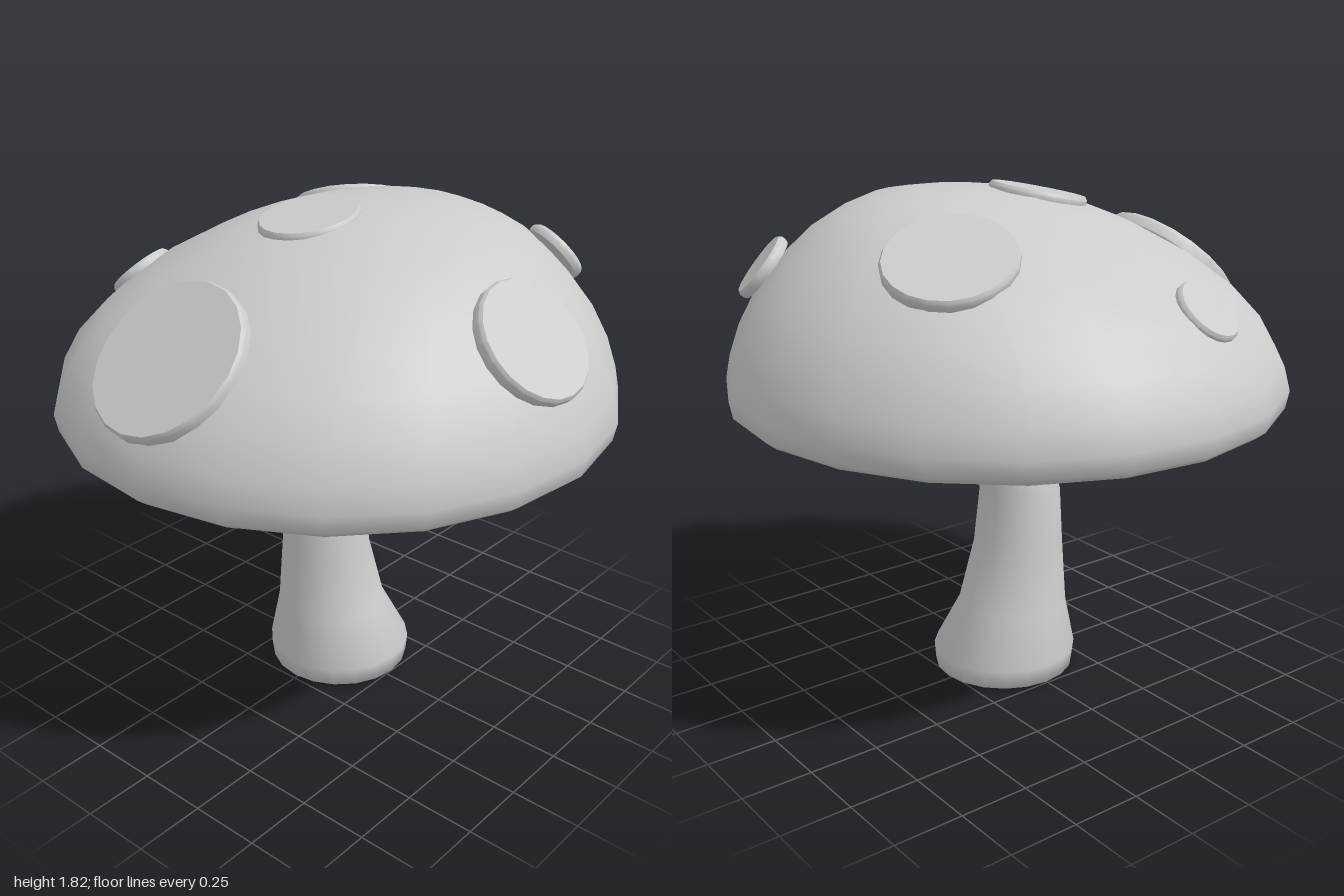
import * as THREE from 'three';
import { mergeVertices, toCreasedNormals } from 'three/addons/utils/BufferGeometryUtils.js';

const material = new THREE.MeshStandardMaterial({ color: 0xcccccc });

// Lathe a profile of [radius, y], turn it, then shift each ring sideways by offset(y, ring)
function leaningLathe(profile, sides, turn, offset, crease) {
  let geo = new THREE.LatheGeometry(profile.map(([r, y]) => new THREE.Vector2(r, y)), sides);
  geo.rotateY(turn);
  const pos = geo.attributes.position;
  for (let i = 0; i < pos.count; i++) {
    const [dx, dz] = offset(pos.getY(i), i % profile.length);
    pos.setX(i, pos.getX(i) + dx);
    pos.setZ(i, pos.getZ(i) + dz);
  }
  geo.deleteAttribute('uv');
  geo.deleteAttribute('normal');
  geo = mergeVertices(geo, 1e-4);
  geo.computeVertexNormals();
  return crease ? toCreasedNormals(geo, crease) : geo;
}

function addMesh(group, name, geo) {
  const mesh = new THREE.Mesh(geo, material);
  mesh.name = name;
  group.add(mesh);
  return mesh;
}

export function createModel() {
  const group = new THREE.Group();
  group.name = 'mushroom';

  // Cap: hollow underside, rounded rim, dome whose peak leans to +x and -z
  const capProfile = [
    [0, 1.185], [0.3, 1.178], [0.6, 1.145], [0.82, 1.085], [0.91, 1.054], [0.955, 1.052], [0.988, 1.078],
    [1, 1.14], [0.98, 1.225], [0.93, 1.335], [0.845, 1.45], [0.715, 1.57],
    [0.56, 1.675], [0.445, 1.73], [0.3, 1.78], [0.15, 1.8], [0, 1.805],
  ];
  const capLean = (y) => {
    const d = 0.13 * Math.max(0, (y - 1.15) / 0.65) ** 2;
    return [d, -d];
  };
  // the underside stays upright, only the dome rings lean
  addMesh(group, 'cap', leaningLathe(capProfile, 20, 0.042,
    (y, ring) => (ring < 7 ? [0, 0] : capLean(y))));

  // Stem rings: radius, y, centre x, centre z
  const rings = [
    [0, 0, 0, -0.015], [0.23, 0, 0, -0.015], [0.26, 0.012, 0, -0.015], [0.267, 0.08, 0, -0.013],
    [0.202, 0.26, -0.02, 0.01], [0.165, 0.5, -0.03, 0.03], [0.149, 0.7, -0.033, 0.035],
    [0.133, 0.86, -0.018, 0.012], [0.111, 1.05, 0.02, -0.043], [0.1, 1.25, 0.07, -0.1], [0, 1.25, 0.07, -0.1],
  ];
  addMesh(group, 'stem', leaningLathe(rings, 20, 0, (y, ring) => rings[ring].slice(2), 1.2));

  // Spots: outer face centre, facing direction, radius
  const spots = [
    ['frontSpot', [-0.02, 1.475, 0.787], [-0.03, 0.72, 0.69], 0.283],
    ['leftSpot', [0.837, 1.533, 0.037], [0.73, 0.68, 0.05], 0.215],
    ['backRightSpot', [-0.342, 1.662, -0.485], [-0.34, 0.88, -0.34], 0.222],
    ['backSpot', [0.422, 1.558, -0.748], [0.33, 0.62, -0.7], 0.123],
    ['rightSpot', [-0.76, 1.475, 0.238], [-0.64, 0.73, 0.17], 0.122],
    ['topSpot', [-0.015, 1.79, 0.13], [-0.06, 0.98, 0.18], 0.175],
  ];
  const up = new THREE.Vector3(0, 1, 0);
  for (const [name, centre, facing, r] of spots) {
    const depth = 0.02 + 0.14 * r;
    const profile = [[0, -depth], [r * 0.97, -depth], [r, 0.012 - depth], [r, -0.012], [r - 0.008, 0], [0, 0]];
    const spot = addMesh(group, name, leaningLathe(profile, 20, 0, () => [0, 0], 0.6));
    spot.position.set(...centre);
    spot.quaternion.setFromUnitVectors(up, new THREE.Vector3(...facing).normalize());
  }
  return group;
}
